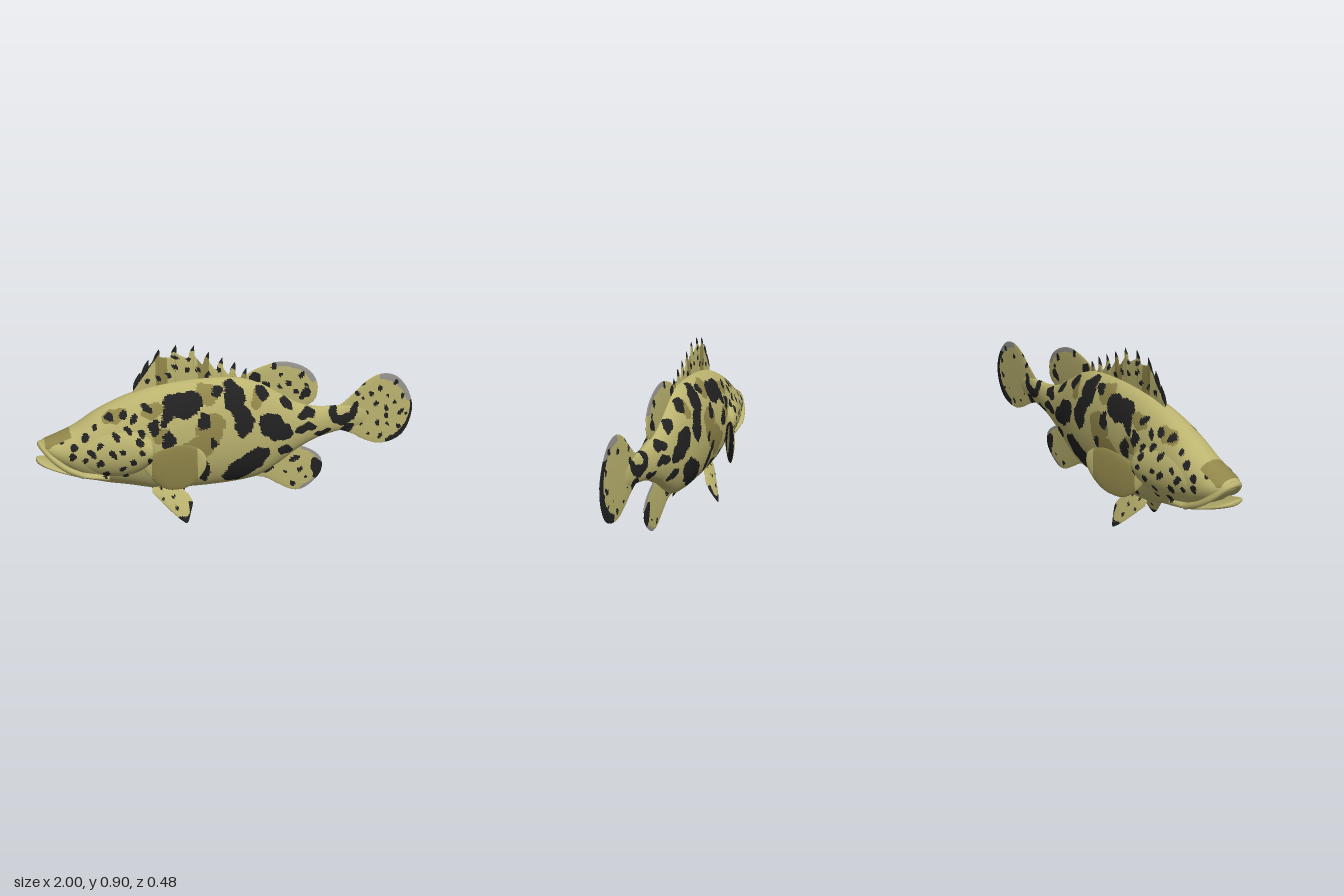
import * as THREE from 'three';

const mat = (name, color) => {
  const m = new THREE.MeshStandardMaterial({ color });
  m.name = name;
  return m;
};
const MATERIALS = [mat('khaki', 0xbbb36f), mat('black', 0x212121), mat('olive', 0x91864a), mat('grey', 0x96938e)];
const KHAKI = 0, BLACK = 1, OLIVE = 2, GREY = 3;

// Blotches on the flank: x, y, radius x, radius y, tilt
const BLOTS = [
  [-0.28, 0.62, 0.10, 0.06, 0], [-0.37, 0.575, 0.028, 0.055, -0.2], [-0.185, 0.53, 0.03, 0.045, 0],
  [-0.02, 0.63, 0.055, 0.08, 0.1], [0.02, 0.52, 0.052, 0.09, 0.2], [0.17, 0.475, 0.072, 0.058, -0.5],
  [0.23, 0.42, 0.075, 0.045, -0.3], [0.045, 0.265, 0.14, 0.066, 0.55], [0.255, 0.315, 0.045, 0.028, 0],
  [0.385, 0.49, 0.055, 0.027, 0.1], [0.37, 0.42, 0.06, 0.025, 0], [0.54, 0.47, 0.024, 0.05, 0],
  [0.6, 0.44, 0.07, 0.028, 0.3], [0.62, 0.385, 0.035, 0.03, 0], [-0.19, 0.28, 0.032, 0.09, 0.25],
  [-0.37, 0.45, 0.035, 0.045, 0], [-0.43, 0.53, 0.028, 0.04, 0], [-0.46, 0.34, 0.02, 0.045, 0],
  [0.13, 0.635, 0.035, 0.035, 0], [0.27, 0.56, 0.045, 0.022, -0.5], [-0.11, 0.67, 0.03, 0.025, 0],
  [-0.28, 0.23, 0.04, 0.025, 0], [-0.14, 0.42, 0.018, 0.03, 0], [0.48, 0.38, 0.045, 0.018, 0],
  [-0.47, 0.62, 0.025, 0.02, 0], [-0.4, 0.24, 0.02, 0.03, 0], [0.66, 0.47, 0.022, 0.045, 0]
];
const OLIVE_PATCHES = [
  [-0.15, 0.49, 0.075, 0.085, 0], [-0.23, 0.39, 0.09, 0.065, 0], [-0.44, 0.61, 0.06, 0.035, 0.3],
  [-0.3, 0.33, 0.07, 0.06, 0], [-0.62, 0.59, 0.06, 0.03, 0.5], [-0.16, 0.66, 0.06, 0.05, 0],
  [0.1, 0.6, 0.03, 0.05, 0], [-0.4, 0.48, 0.05, 0.04, 0]
];
// Small round spots from x, y pairs, with varied sizes
const spots = (list, size) => list.map(([x, y], i) => [x, y, size + 0.004 * (i % 3), size + 0.003 * ((i * 2) % 3), i]);
const HEAD_SPOTS = spots([
  [-0.87, 0.49], [-0.82, 0.45], [-0.77, 0.5], [-0.72, 0.55], [-0.64, 0.58], [-0.58, 0.6], [-0.7, 0.46],
  [-0.63, 0.5], [-0.56, 0.53], [-0.78, 0.39], [-0.71, 0.37], [-0.64, 0.41], [-0.59, 0.43], [-0.52, 0.46],
  [-0.67, 0.3], [-0.6, 0.34], [-0.55, 0.37], [-0.74, 0.43], [-0.5, 0.41], [-0.84, 0.41], [-0.53, 0.57],
  [-0.57, 0.29], [-0.5, 0.5]
], 0.014);
const TAIL_SPOTS = spots([
  [0.71, 0.61], [0.76, 0.565], [0.81, 0.58], [0.86, 0.53], [0.78, 0.5], [0.84, 0.46], [0.89, 0.5], [0.93, 0.445],
  [0.74, 0.45], [0.71, 0.53], [0.68, 0.555], [0.8, 0.39], [0.86, 0.375], [0.92, 0.365], [0.82, 0.31], [0.75, 0.34],
  [0.89, 0.61], [0.945, 0.53], [0.7, 0.39], [0.855, 0.42], [0.88, 0.3], [0.965, 0.42]
], 0.009);
const DORSAL_SPOTS = [
  [0.12, 0.7, 0.03, 0.025, 0], [0.17, 0.66, 0.025, 0.02, 0.4], [0.38, 0.585, 0.04, 0.022, 0.6],
  ...spots([[0.25, 0.7], [0.3, 0.66], [0.36, 0.69], [0.4, 0.63], [0.33, 0.61], [0.21, 0.745], [0.25, 0.64]], 0.011)
];
const ANAL_SPOTS = [
  [0.46, 0.175, 0.035, 0.06, 0], [0.17, 0.2, 0.04, 0.02, 0], [0.34, 0.24, 0.03, 0.016, 0],
  ...spots([[0.28, 0.17], [0.36, 0.17], [0.33, 0.1], [0.4, 0.12]], 0.01)
];

const inside = (list, x, y) => {
  const px = x + 0.007 * Math.sin(46 * y + 9 * x) + 0.003 * Math.sin(120 * y);
  const py = y + 0.007 * Math.sin(42 * x + 1) + 0.003 * Math.sin(110 * x);
  return list.some(([cx, cy, rx, ry, t]) => {
    const dx = px - cx, dy = py - cy, c = Math.cos(t), s = Math.sin(t);
    return ((dx * c + dy * s) / rx) ** 2 + ((dy * c - dx * s) / ry) ** 2 < 1;
  });
};
const freckle = (x, y, limit) =>
  Math.sin(62 * x + 3 * Math.sin(23 * y)) * Math.sin(66 * y + 3 * Math.sin(19 * x + 1)) > limit;

const skinPaint = (x, y) => {
  if (inside(BLOTS, x, y) || inside(HEAD_SPOTS, x, y)) return BLACK;
  return inside(OLIVE_PATCHES, x, y) ? OLIVE : KHAKI;
};

const spline = (a, b, c, d, t) =>
  0.5 * (2 * b + (c - a) * t + (2 * a - 5 * b + 4 * c - d) * t * t + (3 * b - a - 3 * c + d) * t * t * t);

// Skins elliptical sections given as rows of x, low y, high y, half width; paint picks each triangle's colour
function loft(name, rows, steps, nv, paint, warp) {
  const pos = [], groups = MATERIALS.map(() => []), n = rows.length - 1, nu = n * steps;
  for (let i = 0; i <= nu; i++) {
    const k = Math.min(Math.floor(i / steps), n - 1), t = i / steps - k;
    const row = (j) => rows[Math.max(0, Math.min(n, j))];
    const [x, lo, hi, w] = rows[0].map((_, c) => spline(row(k - 1)[c], row(k)[c], row(k + 1)[c], row(k + 2)[c], t));
    for (let j = 0; j < nv; j++) {
      const a = (j / nv) * Math.PI * 2;
      pos.push(x, (lo + hi) / 2 - (Math.cos(a) * (hi - lo)) / 2, Math.sin(a) * Math.max(w, 0));
    }
  }
  const addFace = (...face) => {
    const mid = (q) => face.reduce((sum, v) => sum + pos[v * 3 + q], 0) / 3;
    groups[paint(mid(0), mid(1), mid(2))].push(...face);
  };
  for (let i = 0; i < nu; i++) {
    for (let j = 0; j < nv; j++) {
      const a = i * nv + j, b = i * nv + ((j + 1) % nv), c = a + nv, d = b + nv;
      addFace(a, c, b);
      addFace(b, c, d);
    }
  }
  const g = new THREE.BufferGeometry();
  g.setAttribute('position', new THREE.Float32BufferAttribute(pos, 3));
  g.setIndex(groups.flat());
  let start = 0;
  groups.forEach((list, m) => {
    if (list.length) g.addGroup(start, list.length, m);
    start += list.length;
  });
  if (warp) {
    const p = g.attributes.position;
    for (let i = 0; i < p.count; i++) p.setZ(i, p.getZ(i) + warp(p.getX(i), p.getY(i)));
  }
  g.computeVertexNormals();
  const mesh = new THREE.Mesh(g, MATERIALS);
  mesh.name = name;
  return mesh;
}

export function createModel() {
  const fish = new THREE.Group();
  fish.name = 'fish';

  // Body, from upper jaw to tail stem, with an olive snout top
  fish.add(loft('body', [
    [-0.975, 0.45, 0.46, 0], [-0.965, 0.425, 0.475, 0.045], [-0.93, 0.383, 0.487, 0.078], [-0.88, 0.338, 0.505, 0.098],
    [-0.8, 0.285, 0.54, 0.112], [-0.69, 0.235, 0.607, 0.122], [-0.55, 0.2, 0.665, 0.13], [-0.4, 0.163, 0.702, 0.131],
    [-0.2, 0.15, 0.72, 0.126], [0, 0.152, 0.712, 0.117], [0.13, 0.17, 0.675, 0.103], [0.24, 0.225, 0.61, 0.085],
    [0.34, 0.29, 0.55, 0.066], [0.45, 0.34, 0.515, 0.046], [0.56, 0.365, 0.508, 0.029], [0.67, 0.38, 0.5, 0.015],
    [0.78, 0.41, 0.47, 0.002]
  ], 13, 168, (x, y, z) => (x > -0.955 && x < -0.83 && y > 0.45 && Math.abs(z) < 0.07 ? OLIVE : skinPaint(x, y))));

  // Lower jaw, jutting past the upper one, with a grey chin
  fish.add(loft('lowerJaw', [
    [-1, 0.374, 0.384, 0], [-0.99, 0.36, 0.388, 0.042], [-0.95, 0.342, 0.375, 0.08], [-0.88, 0.315, 0.35, 0.1],
    [-0.78, 0.28, 0.325, 0.112], [-0.66, 0.24, 0.31, 0.1]
  ], 8, 32, (x, y) => (x > -0.83 && x < -0.77 && y < 0.3 ? GREY : skinPaint(x, y))));

  // Upper lip wrapped around the snout
  const lipSide = [[-0.78, 0.307, 0.108], [-0.86, 0.347, 0.098], [-0.925, 0.4, 0.075], [-0.963, 0.445, 0.04]];
  const lipPath = [...lipSide, [-0.975, 0.458, 0], ...lipSide.map(([x, y, z]) => [x, y, -z]).reverse()];
  const lip = new THREE.Mesh(
    new THREE.TubeGeometry(new THREE.CatmullRomCurve3(lipPath.map((p) => new THREE.Vector3(...p))), 48, 0.015, 10),
    MATERIALS[KHAKI]);
  lip.name = 'upperLip';
  fish.add(lip);

  // Bulging gill covers
  fish.add(loft('gillCovers', [
    [-0.88, 0.37, 0.45, 0.08], [-0.8, 0.31, 0.51, 0.112], [-0.7, 0.26, 0.565, 0.133], [-0.6, 0.245, 0.58, 0.15],
    [-0.52, 0.26, 0.565, 0.162], [-0.465, 0.3, 0.52, 0.165], [-0.445, 0.33, 0.49, 0.15], [-0.435, 0.36, 0.46, 0.1]
  ], 11, 96, skinPaint));

  // Tail fin, grey along the upper rim and black at the rear; the right face is plainer
  fish.add(loft('tailFin', [
    [0.53, 0.37, 0.5, 0.004], [0.58, 0.37, 0.508, 0.006], [0.65, 0.345, 0.56, 0.007], [0.73, 0.3, 0.628, 0.007],
    [0.81, 0.272, 0.66, 0.006], [0.89, 0.28, 0.645, 0.005], [0.95, 0.315, 0.59, 0.005], [0.985, 0.375, 0.525, 0.004],
    [1, 0.44, 0.47, 0.001]
  ], 10, 88, (x, y, z) => {
    const r = Math.hypot((x - 0.79) / 0.21, (y - 0.465) / 0.197);
    if ((z > 0 || r > 0.55) && inside(TAIL_SPOTS, x, y)) return BLACK;
    if (r > 0.84 && x > 0.8 && y > (z > 0 ? 0.5 : 0.58)) return GREY;
    if (r > (z > 0 ? 0.93 : 0.84) && x > 0.85) return BLACK;
    return skinPaint(x, y);
  }));

  // Spiny front dorsal fin with hooked tips
  const tips = [[-0.472, 0.775], [-0.43, 0.835], [-0.375, 0.885], [-0.29, 0.9], [-0.2, 0.89], [-0.125, 0.852],
    [-0.055, 0.818], [0.01, 0.79], [0.068, 0.752]];
  const spines = [[-0.51, 0.6, 0.66, 0.002]];
  tips.forEach(([x, y]) => spines.push(
    [x - 0.036, 0.6, y - 0.06, 0.006], [x - 0.022, 0.6, y - 0.028, 0.006], [x, 0.6, y, 0.004], [x - 0.006, 0.6, y - 0.035, 0.006]));
  spines.push([0.1, 0.6, 0.69, 0.003]);
  fish.add(loft('spinyDorsalFin', spines, 4, 52, (x, y) => {
    const edge = x < -0.2 ? Math.min(0.895, 0.895 + 1.3 * (x + 0.375)) : 0.89 - 0.52 * (x + 0.2);
    if (y > edge - 0.032 || freckle(x, y, 0.6)) return BLACK;
    return Math.sin(30 * x) > 0.6 ? OLIVE : KHAKI;
  }));

  // Soft rear dorsal fin
  fish.add(loft('softDorsalFin', [
    [0.04, 0.6, 0.69, 0.003], [0.09, 0.58, 0.73, 0.007], [0.16, 0.55, 0.757, 0.009], [0.25, 0.52, 0.772, 0.009],
    [0.34, 0.515, 0.752, 0.008], [0.41, 0.53, 0.71, 0.007], [0.445, 0.56, 0.66, 0.005], [0.455, 0.6, 0.625, 0.001]
  ], 8, 56, (x, y, z) => {
    const r = Math.hypot((x - 0.24) / 0.215, (y - 0.62) / 0.152);
    if ((z > 0 || r > 0.6) && inside(DORSAL_SPOTS, x, y)) return BLACK;
    return x > 0.21 && y > 0.65 && r > 0.84 ? GREY : KHAKI;
  }));

  // Anal fin
  fish.add(loft('analFin', [
    [0.1, 0.16, 0.25, 0.003], [0.17, 0.148, 0.29, 0.007], [0.25, 0.1, 0.32, 0.007], [0.32, 0.062, 0.32, 0.006],
    [0.38, 0.058, 0.3, 0.006], [0.44, 0.092, 0.268, 0.006], [0.48, 0.135, 0.23, 0.005], [0.492, 0.17, 0.19, 0.001]
  ], 8, 56, (x, y, z) => {
    const r = Math.hypot((x - 0.33) / 0.165, (y - 0.18) / 0.125);
    if ((z > 0 || r > 0.6) && inside(ANAL_SPOTS, x, y)) return BLACK;
    return x > 0.37 && r > 0.86 ? GREY : KHAKI;
  }));

  // Paired fins, mirrored across the body
  for (const side of [1, -1]) {
    const pair = new THREE.Group();
    pair.name = side > 0 ? 'leftFins' : 'rightFins';
    pair.scale.z = side;

    // Pectoral fin: olive outside, dark inside
    const pectoral = loft('pectoralFin', [
      [0, 0.31, 0.36, 0.007], [0.05, 0.25, 0.395, 0.011], [0.11, 0.213, 0.425, 0.012], [0.17, 0.214, 0.444, 0.011],
      [0.22, 0.232, 0.45, 0.01], [0.27, 0.275, 0.437, 0.009], [0.303, 0.325, 0.408, 0.006], [0.312, 0.355, 0.38, 0.001]
    ], 7, 48, (x, y, z) => {
      if (z > 0) return x > 0.04 && x < 0.27 ? OLIVE : KHAKI;
      return inside([[0.17, 0.35, 0.035, 0.085, -0.2]], x, y) ? KHAKI : BLACK;
    });
    pectoral.position.set(-0.49, 0, 0.11);
    pectoral.rotation.y = -0.42;

    // Pelvic fin, splayed outward below the belly
    const pelvic = loft('pelvicFin', [
      [-0.44, 0.155, 0.175, 0.003], [-0.39, 0.1, 0.2, 0.01], [-0.34, 0.047, 0.2, 0.011], [-0.3, 0.012, 0.18, 0.01],
      [-0.277, 0.004, 0.152, 0.009], [-0.255, 0.05, 0.13, 0.007], [-0.24, 0.085, 0.1, 0.001]
    ], 7, 40, (x, y) => (y < 0.035 || (x > -0.262 && y < 0.1) || freckle(x, y, 0.8) ? BLACK : KHAKI),
    (x, y) => 0.05 + (0.165 - y) * 0.5);

    pair.add(pectoral, pelvic);
    fish.add(pair);
  }
  return fish;
}
